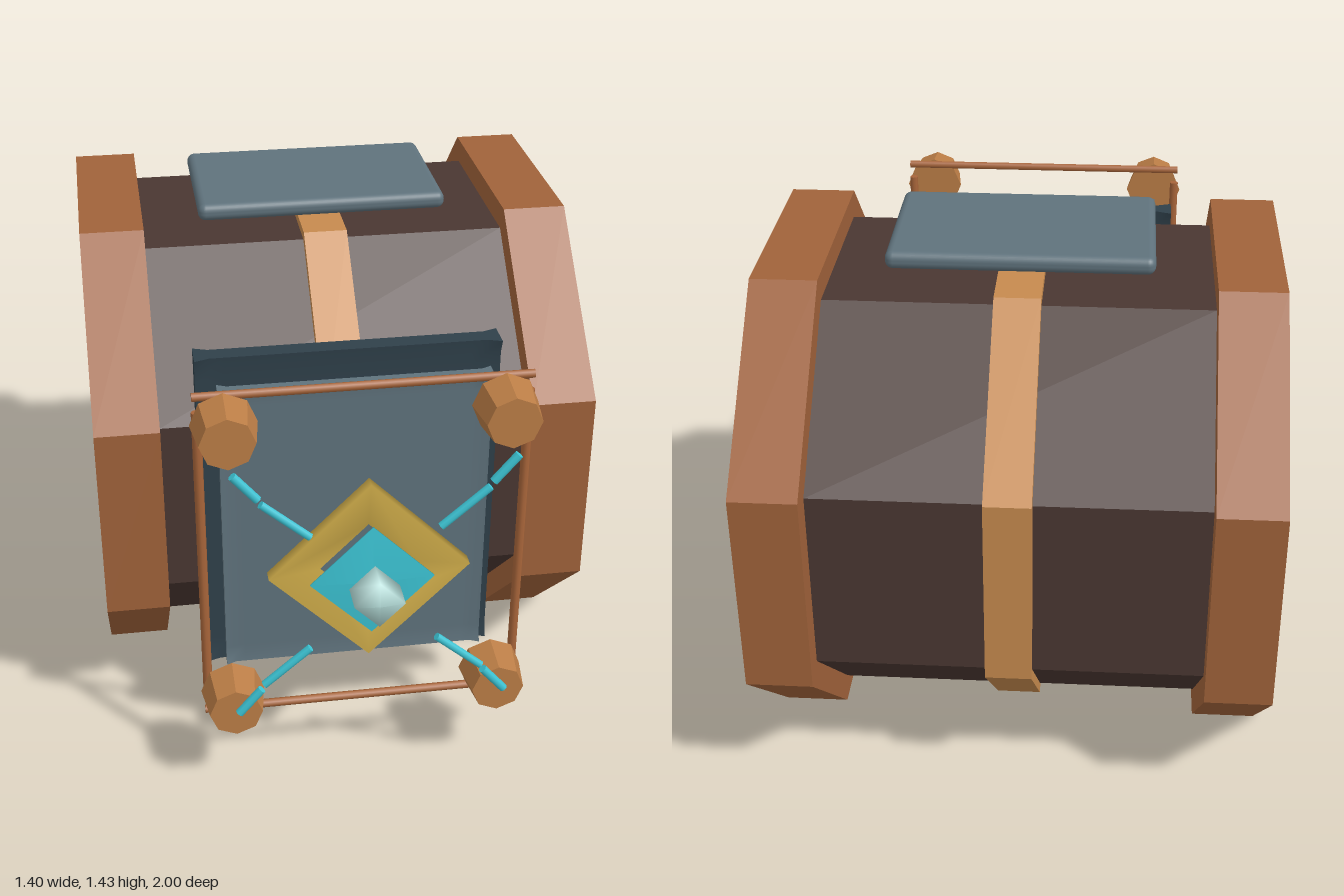
import * as THREE from 'three';
import { RoundedBoxGeometry } from 'three/addons/geometries/RoundedBoxGeometry.js';

const mat = (color, flatShading = false, side = THREE.FrontSide) =>
  new THREE.MeshStandardMaterial({ color, flatShading, side });
const MATS = {
  ring: mat(0xa0623a, true), band: mat(0x4a3732, true), strap: mat(0xc68a4e, true),
  plate: mat(0x5f727c), frame: mat(0x2f404a), knob: mat(0xbb7d46, true), rod: mat(0xa8653a),
  gold: mat(0xd0ad4a, false, THREE.DoubleSide), cyan: mat(0x3cc4d4), gem: mat(0xb4dcd8),
};
const CUFF_Y = 0.7, CUFF_Z = -0.255, FACE_Y = 0.722;

function add(parent, name, geometry, material, x = 0, y = 0, z = 0) {
  const mesh = new THREE.Mesh(geometry, material);
  mesh.name = name;
  mesh.position.set(x, y, z);
  parent.add(mesh);
  return mesh;
}

// Octagon outline with flat top, given its half width and half height
function octagon(path, a, b) {
  const k = Math.SQRT2 - 1;
  const pts = [[1, k], [k, 1], [-k, 1], [-1, k], [-1, -k], [-k, -1], [k, -1], [1, -k]];
  return path.setFromPoints(pts.map(([u, v]) => new THREE.Vector2(u * a, v * b)));
}

// Octagonal hoop running along x
function hoop(outer, inner, width) {
  const shape = octagon(new THREE.Shape(), ...outer);
  shape.holes.push(octagon(new THREE.Path(), ...inner));
  const g = new THREE.ExtrudeGeometry(shape, { depth: width, bevelEnabled: false });
  return g.translate(0, 0, -width / 2).rotateY(Math.PI / 2);
}

// Thin plate with a raised rim whose four corners flare in thickness
function flaredPlate(w, h, field, edge, corner, rim) {
  const n = 8, g = new THREE.BoxGeometry(1, 1, 1, n, n, 1), p = g.attributes.position;
  const place = (u, half) => {
    const i = Math.round(Math.abs(u) * n);
    return Math.sign(u) * [0, half * 0.5, half - 2 * rim, half - rim, half][i];
  };
  for (let i = 0; i < p.count; i++) {
    const ix = Math.round(Math.abs(p.getX(i)) * n), iy = Math.round(Math.abs(p.getY(i)) * n);
    let t = field;
    if (ix === 4 || iy === 4) t = edge;
    if (ix === 4 && iy === 4) t = corner;
    p.setXYZ(i, place(p.getX(i), w / 2), place(p.getY(i), h / 2), Math.sign(p.getZ(i)) * t / 2);
  }
  g.computeVertexNormals();
  return g;
}

// Four-sided turned shape, facing +z, from [radius, z] points
function diamond(profile) {
  const pts = profile.map(([r, z]) => new THREE.Vector2(r, z));
  return new THREE.LatheGeometry(pts, 4).rotateX(Math.PI / 2);
}

// Round rod between two points
function rod(parent, name, a, b, radius, material) {
  const from = new THREE.Vector3(...a), to = new THREE.Vector3(...b);
  const mesh = add(parent, name, new THREE.CylinderGeometry(radius, radius, from.distanceTo(to), 8), material);
  mesh.position.copy(from).add(to).multiplyScalar(0.5);
  mesh.quaternion.setFromUnitVectors(new THREE.Vector3(0, 1, 0), to.sub(from).normalize());
}

export function createModel() {
  const model = new THREE.Group();
  model.name = 'armoredCuff';

  // Cuff: two end rings, the band between them and a middle strap
  const cuff = new THREE.Group();
  cuff.name = 'cuff';
  cuff.position.set(0, CUFF_Y, CUFF_Z);
  model.add(cuff);
  for (const s of [-1, 1])
    add(cuff, s > 0 ? 'leftRing' : 'rightRing', hoop([0.745, 0.7], [0.475, 0.45], 0.18), MATS.ring, s * 0.61);
  add(cuff, 'band', hoop([0.672, 0.63], [0.477, 0.452], 1.04), MATS.band);
  add(cuff, 'strap', hoop([0.7, 0.656], [0.66, 0.618], 0.125), MATS.strap);

  // Plates above and below the cuff
  add(model, 'topPlate', new RoundedBoxGeometry(0.72, 0.05, 0.45, 3, 0.022), MATS.plate, 0, 1.41, -0.235);
  add(model, 'bottomPlate', new RoundedBoxGeometry(0.58, 0.045, 0.4, 3, 0.02), MATS.frame, 0, 0.027, -0.24);

  // Layered front: backing plate and face panel
  add(model, 'backingPlate', flaredPlate(0.84, 1, 0.045, 0.052, 0.08, 0.04), MATS.frame, 0, 0.7, 0.452);
  add(model, 'facePanel', flaredPlate(0.74, 0.89, 0.014, 0.022, 0.046, 0.027), MATS.plate, 0, FACE_Y, 0.589);

  // Rod frame
  for (const s of [-1, 1]) {
    rod(model, 'sideRod', [s * 0.435, 0.26, 0.728], [s * 0.435, 1.18, 0.728], 0.013, MATS.rod);
    rod(model, 'crossRod', [-0.445, FACE_Y + s * 0.502, 0.728], [0.445, FACE_Y + s * 0.502, 0.728], 0.012, MATS.rod);
  }

  // Corner knobs and the jointed struts reaching to the middle
  for (const sx of [-1, 1]) for (const sy of [-1, 1]) {
    const at = (x, y) => [sx * x, FACE_Y + sy * y, 0.913];
    const knob = new THREE.CylinderGeometry(0.073, 0.088, 0.11, 8).rotateX(Math.PI / 2);
    add(model, 'cornerKnob', knob, MATS.knob, sx * 0.367, FACE_Y + sy * 0.427, 0.795);
    rod(model, 'innerStrut', at(0.17, 0.176), at(0.295, 0.285), 0.011, MATS.cyan);
    rod(model, 'outerStrut', at(0.302, 0.3), at(0.364, 0.374), 0.012, MATS.cyan);
  }

  // Central emblem layers: dished setting, thin inlay and gem
  const setting = diamond([[0.13, 0.803], [0.27, 0.803], [0.27, 0.84], [0.13, 0.808], [0.13, 0.803]]);
  add(model, 'diamondSetting', setting, MATS.gold, 0, FACE_Y, 0);
  add(model, 'diamondInlay', diamond([[0, 0.876], [0.166, 0.876], [0.166, 0.88], [0, 0.89]]), MATS.cyan, 0, FACE_Y, 0);
  add(model, 'gem', diamond([[0, 0.91], [0.067, 0.91], [0.067, 0.992], [0, 1]]), MATS.gem, 0, FACE_Y, 0);

  return model;
}
